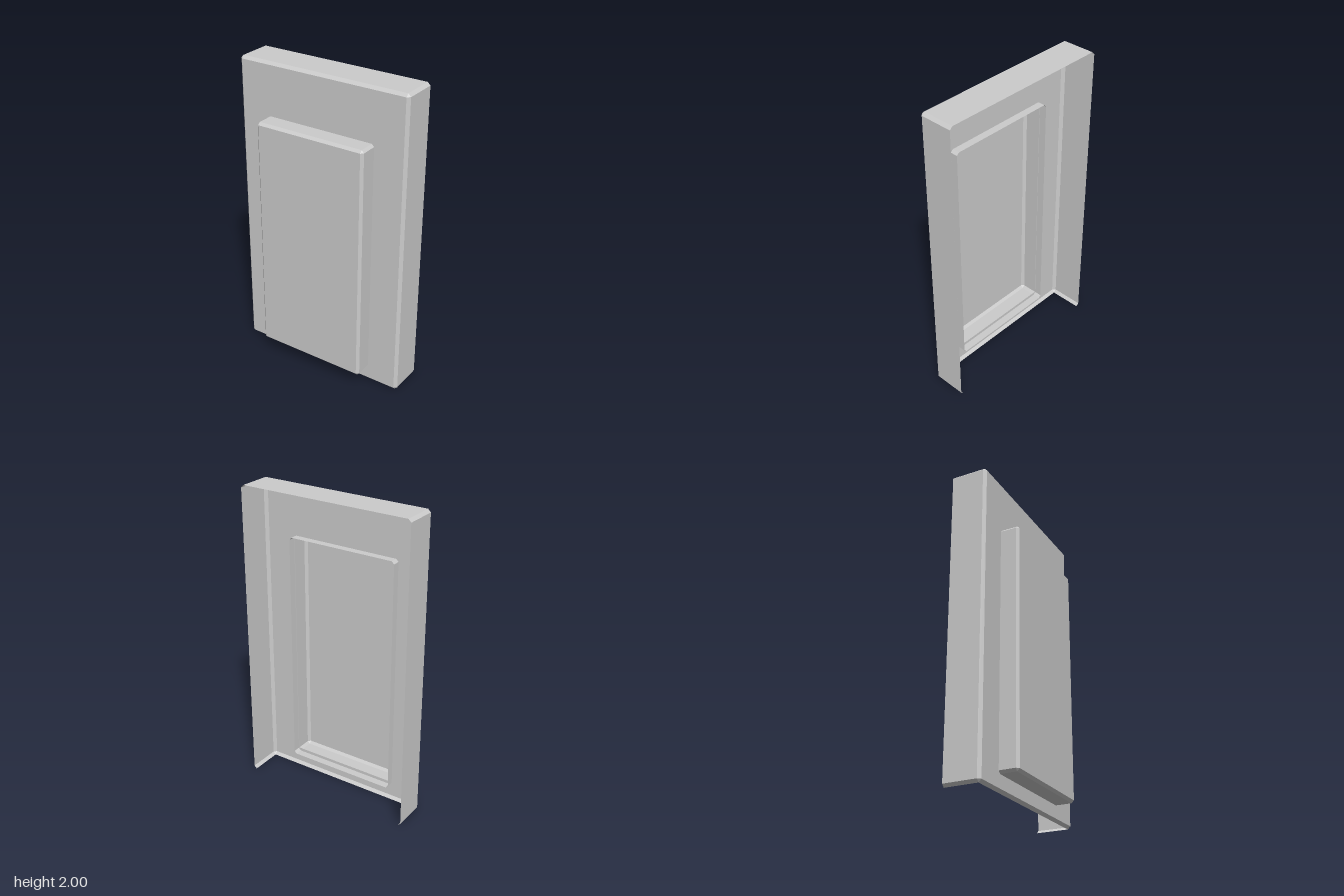
import * as THREE from 'three';

const material = new THREE.MeshStandardMaterial({
  color: 0xcccccc, flatShading: true, side: THREE.DoubleSide,
});

// Rectangle loop of 8 points in the plane x, with each corner cut by b
// (b = 0 gives doubled corners, so every loop joins to every other)
function loop(x, [y0, y1], [z0, z1], b) {
  return [
    [y1, z1 - b], [y1 - b, z1], [y0 + b, z1], [y0, z1 - b],
    [y0, z0 + b], [y0 + b, z0], [y1 - b, z0], [y1, z0 + b],
  ].map(([y, z]) => new THREE.Vector3(x, y, z));
}

const inset = ([a, b], d) => [a + d, b - d];

// Bevelled thin-walled tray, open towards +x; the back has a hole or is closed
function tray(name, { x, y, z, bevel, openBottom = false, hole = null }) {
  const backY = inset(y, bevel), backZ = inset(z, bevel);
  const mid = v => [(v[0] + v[1]) / 2, (v[0] + v[1]) / 2];
  const loops = [
    loop(x[1], y, z, bevel),
    loop(x[0] + bevel, y, z, bevel),
    loop(x[0], backY, backZ, 0),
    hole ? loop(x[0], hole.y, hole.z, 0) : loop(x[0], mid(y), mid(z), 0),
  ];
  const points = [];
  const triangle = (...t) => {
    if (new THREE.Triangle(...t).getArea() > 1e-8) points.push(...t);
  };
  for (let k = 0; k < loops.length - 1; k++) {
    for (let i = 0; i < 8; i++) {
      if (openBottom && k === 0 && i === 3) continue; // no bottom wall
      const j = (i + 1) % 8, a = loops[k], b = loops[k + 1];
      triangle(a[i], b[i], b[j]);
      triangle(a[i], b[j], a[j]);
    }
  }
  const geometry = new THREE.BufferGeometry().setFromPoints(points);
  geometry.computeVertexNormals();
  const mesh = new THREE.Mesh(geometry, material);
  mesh.name = name;
  return mesh;
}

export function createModel() {
  const model = new THREE.Group();
  model.name = 'recessedPanel';

  // Large frame: no bottom wall, window cut in its back
  model.add(tray('outerFrame', {
    x: [-0.069, 0.162], y: [0, 2], z: [-0.577, 0.587], bevel: 0.018,
    openBottom: true,
    hole: { y: [0.12, 1.64], z: [-0.368, 0.372] },
  }));

  // Smaller tray pushed through the window, its rim standing proud inside
  model.add(tray('innerTray', {
    x: [-0.19, -0.02], y: [0.1, 1.66], z: [-0.372, 0.376], bevel: 0.016,
  }));

  model.rotation.y = 0.111;
  const group = new THREE.Group();
  group.add(model);
  return group;
}
